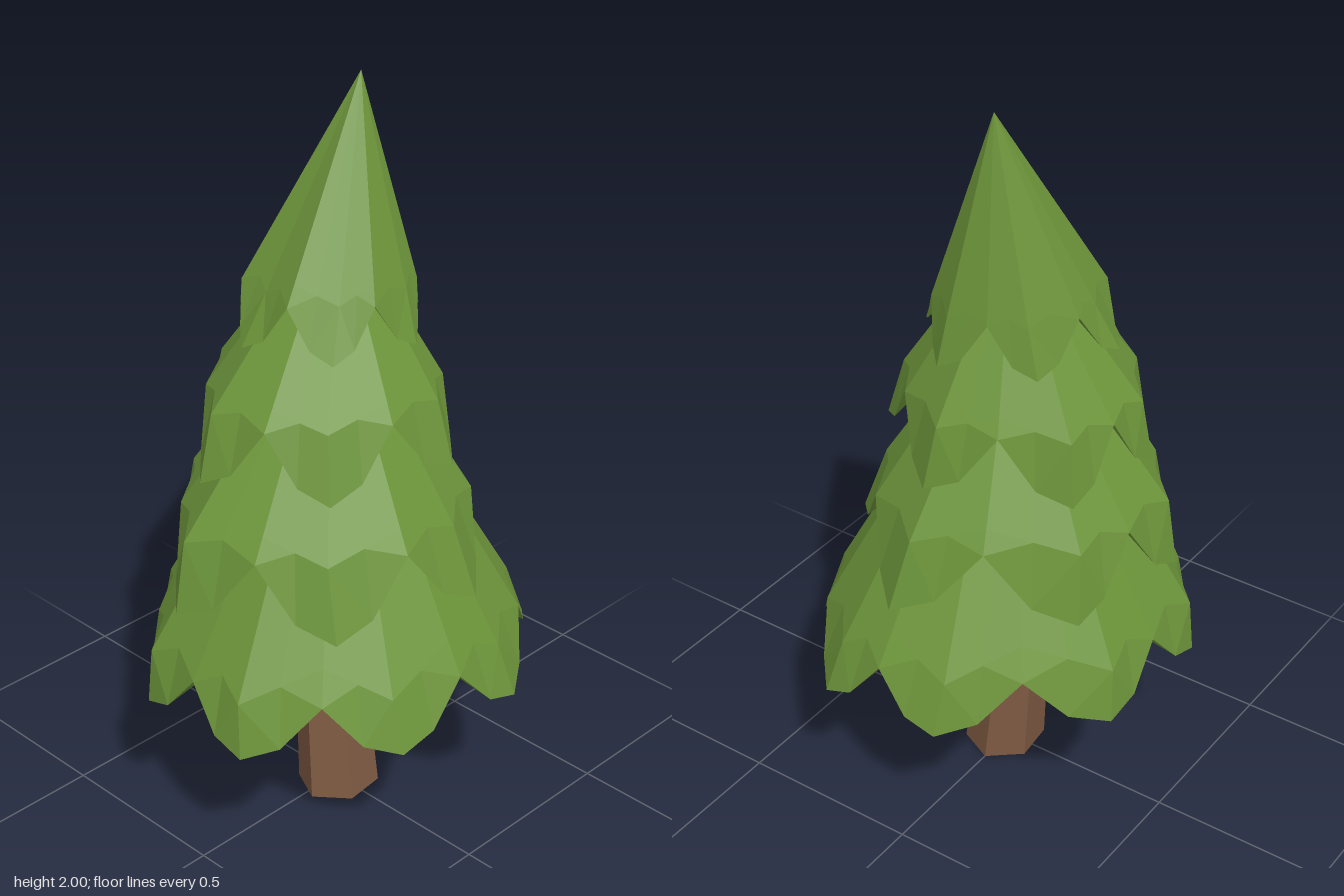
import * as THREE from 'three';

const leaf = new THREE.MeshStandardMaterial({ color: 0x6c943a, flatShading: true, side: THREE.DoubleSide });
const bark = new THREE.MeshStandardMaterial({ color: 0x7e5a42, flatShading: true });

// Each tier: lobe tips as [x, z], heights of tips and notches, axis at the rim and
// at the bend, lobe width at the bend, apex, and width and rise of the underside
const tiers = [
  { name: 'bottomBranches', tipY: 0.41, notchY: 0.555, bulge: 0.94, axis: [0, 0], bendAxis: [-0.015, 0.01],
    apex: [-0.02, 1.42, -0.02], inner: 0.88, lift: 0,
    tips: [[0.45, 0.21], [0.17, 0.515], [-0.19, 0.505], [-0.475, 0.18], [-0.46, -0.2], [-0.12, -0.51], [0.22, -0.52], [0.475, -0.19]] },
  { name: 'lowerBranches', tipY: 0.71, notchY: 0.9, bulge: 0.89, axis: [-0.03, 0.01], bendAxis: [-0.05, 0.015],
    apex: [-0.04, 1.48, -0.03], inner: 0.68, lift: 0.05,
    tips: [[0.3, 0.3], [-0.09, 0.485], [-0.44, 0.13], [-0.38, -0.24], [0.05, -0.46], [0.39, -0.12]] },
  { name: 'upperBranches', tipY: 1.05, notchY: 1.22, bulge: 0.89, axis: [-0.05, 0], bendAxis: [-0.065, -0.01],
    apex: [-0.06, 1.68, -0.07], inner: 0.68, lift: 0.05,
    tips: [[0.22, 0.24], [-0.1, 0.38], [-0.39, 0.07], [-0.35, -0.23], [0, -0.37], [0.29, -0.13]] },
  { name: 'topBranches', tipY: 1.36, notchY: 1.49, bulge: 0.8, axis: [-0.07, -0.05], bendAxis: [-0.07, -0.075],
    apex: [-0.07, 2, -0.16], inner: 0.62, lift: 0.03,
    tips: [[0.12, 0.13], [-0.12, 0.21], [-0.31, 0.03], [-0.23, -0.21], [0.01, -0.29], [0.175, -0.11]] },
];

// One scalloped skirt: columns of points running apex, bend, rim, underside, centre
function branchTier({ name, tipY, notchY, bulge, axis, bendAxis, apex, inner, lift, tips }) {
  const top = new THREE.Vector3(...apex);
  const underY = notchY + lift;
  const centre = new THREE.Vector3(axis[0], underY, axis[1]);
  const n = tips.length;

  // Scale a point about the tier axis, at a given height
  const scaled = (p, s, y) => p.clone().sub(centre).multiplyScalar(s).add(centre).setY(y);
  const tipPoints = tips.map(([x, z]) => new THREE.Vector3(x, tipY, z));
  const notches = tipPoints.map((p, i) =>
    scaled(p.clone().lerp(tipPoints[(i + 1) % n], 0.5), 0.99, notchY));
  const tipBends = tips.map(([x, z]) => new THREE.Vector3(
    bendAxis[0] + (x - axis[0]) * bulge, notchY, bendAxis[1] + (z - axis[1]) * bulge));
  const notchBends = notches.map((p) => top.clone().lerp(p, 0.9));

  const columns = [];
  const addColumn = (bend, rim) =>
    columns.push([top, bend, rim, scaled(rim, inner, underY), centre]);
  const addShoulder = (t, k) => {
    const rim = tipPoints[t].clone().lerp(notches[k], 0.5);
    addColumn(tipBends[t].clone().lerp(notchBends[k], 0.5),
      scaled(rim, 1.02, tipY + (notchY - tipY) * 0.23));
  };
  for (let i = 0; i < n; i++) {
    addColumn(tipBends[i], tipPoints[i]);
    addShoulder(i, i);
    addColumn(notchBends[i], notches[i]);
    addShoulder((i + 1) % n, i);
  }

  // Skin neighbouring columns; the diagonals mirror about each lobe's ridge
  const points = [];
  columns.forEach((a, i) => {
    const b = columns[(i + 1) % columns.length];
    points.push(a[1], top, b[1]);
    for (let r = 1; r < 3; r++) {
      if (i % 4 < 2) points.push(a[r + 1], a[r], b[r + 1], a[r], b[r], b[r + 1]);
      else points.push(a[r + 1], a[r], b[r], a[r + 1], b[r], b[r + 1]);
    }
    points.push(centre, a[3], b[3]);
  });
  const geometry = new THREE.BufferGeometry().setFromPoints(points);
  geometry.computeVertexNormals();
  const mesh = new THREE.Mesh(geometry, leaf);
  mesh.name = name;
  return mesh;
}

// Six-sided trunk leaning towards -x
function trunk() {
  const height = 0.7;
  const geometry = new THREE.CylinderGeometry(0.085, 0.118, height, 6);
  geometry.rotateY(0.12);
  geometry.translate(0, height / 2, 0);
  const pos = geometry.attributes.position;
  for (let i = 0; i < pos.count; i++) {
    pos.setX(i, pos.getX(i) * 0.9 + 0.012 - pos.getY(i) * 0.09);
  }
  geometry.computeVertexNormals();
  const mesh = new THREE.Mesh(geometry, bark);
  mesh.name = 'trunk';
  return mesh;
}

export function createModel() {
  const tree = new THREE.Group();
  tree.name = 'pineTree';
  tree.add(trunk(), ...tiers.map(branchTier));
  return tree;
}
